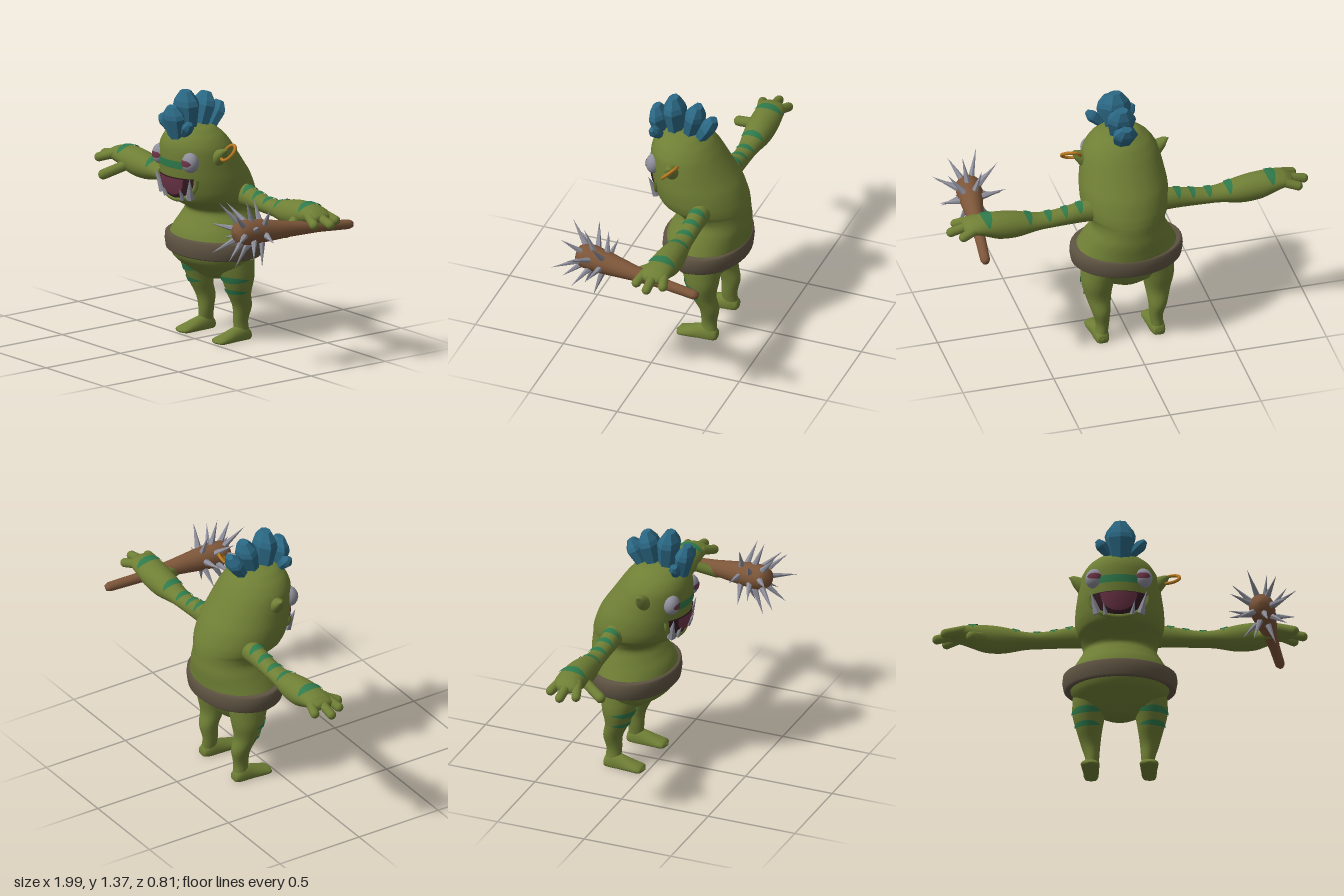
import * as THREE from 'three';
import { mergeVertices } from 'three/addons/utils/BufferGeometryUtils.js';

const V = (x, y, z) => new THREE.Vector3(x, y, z);
const UP = V(0, 1, 0);

// Smooth surface from fn(u, v) -> Vector3, u to the right and v upwards seen from outside
function grid(fn, nu, nv) {
  const pos = [], index = [];
  for (let j = 0; j <= nv; j++) for (let i = 0; i <= nu; i++) pos.push(...fn(i / nu, j / nv).toArray());
  for (let j = 0; j < nv; j++) for (let i = 0; i < nu; i++) {
    const a = j * (nu + 1) + i, b = a + nu + 1;
    index.push(a, a + 1, b + 1, a, b + 1, b);
  }
  let g = new THREE.BufferGeometry();
  g.setAttribute('position', new THREE.Float32BufferAttribute(pos, 3));
  g.setIndex(index);
  g = mergeVertices(g);
  g.computeVertexNormals();
  return g;
}

// Rings are [t, centreA, centreB, radiusA, radiusB]; refine adds Catmull-Rom steps
function refine(rings, n = 4) {
  const out = [], at = i => rings[Math.max(0, Math.min(rings.length - 1, i))];
  for (let i = 0; i < rings.length - 1; i++) for (let k = 0; k < n; k++) {
    const s = k / n, p = at(i - 1), q = at(i), r = at(i + 1), w = at(i + 2);
    out.push(q.map((_, c) => {
      const val = q[c] + 0.5 * s * (r[c] - p[c] + s * (2 * p[c] - 5 * q[c] + 4 * r[c] - w[c] + s * (3 * (q[c] - r[c]) + w[c] - p[c])));
      return c === 0 ? q[0] + s * (r[0] - q[0]) : c > 2 ? Math.max(0, val) : val;
    }));
  }
  out.push(at(rings.length - 1));
  return out;
}

function sample(rings, t) {
  let i = 0;
  while (i < rings.length - 2 && rings[i + 1][0] < t) i++;
  const p = rings[i], q = rings[i + 1], s = THREE.MathUtils.clamp((t - p[0]) / (q[0] - p[0]), 0, 1);
  return p.map((v, c) => v + (q[c] - v) * s);
}

function ringPoint(axis, [t, a, b, ra, rb], angle, off = 0) {
  const c = Math.cos(angle), s = Math.sin(angle), p = ra + off, q = rb + off;
  if (axis === 'y') return V(a + p * s, t, b + q * c);
  if (axis === 'x') return V(t, a + p * c, b + q * s);
  return V(a + p * c, Math.max(0, b + q * s), t);
}

const loft = (axis, rings, seg = 24) => grid(
  (u, v) => ringPoint(axis, rings[Math.round(v * (rings.length - 1))], u * 2 * Math.PI), seg, rings.length - 1);

// Painted band around a limb, pointed at both ends
const band = (axis, rings, t, width, reach, turn = 0) => grid((u, v) => {
  const k = 2 * u - 1, tt = t + width * (2 * v - 1) * (1 - k * k);
  return ringPoint(axis, sample(rings, tt), turn + k * reach, 0.005);
}, 16, 4);

function flat(g) {
  g = g.toNonIndexed();
  g.computeVertexNormals();
  return g;
}

export function createModel() {
  const root = new THREE.Group();
  root.name = 'ogre';
  const mat = (name, color, side = THREE.FrontSide) => {
    const m = new THREE.MeshStandardMaterial({ color, side });
    m.name = name;
    return m;
  };
  const skin = mat('green skin', 0x6f7f35), paint = mat('dark green paint', 0x2f7a4c, THREE.DoubleSide);
  const hair = mat('teal hair', 0x2b6884), grey = mat('grey bone', 0x8f8f9c), wood = mat('brown wood', 0x7d5639);
  const leather = mat('belt leather', 0x5f5443), gold = mat('gold', 0xb87a22);
  const dark = mat('dark mouth', 0x351c24, THREE.DoubleSide), red = mat('maroon', 0x6e3548, THREE.DoubleSide);

  const add = (name, geometry, material, parent = root) => {
    const m = new THREE.Mesh(geometry, material);
    m.name = name;
    parent.add(m);
    return m;
  };
  // Places a y-aligned mesh between two points
  const span = (m, a, b) => {
    m.position.copy(a).add(b).multiplyScalar(0.5);
    m.quaternion.setFromUnitVectors(UP, b.clone().sub(a).normalize());
    return m;
  };
  const capsule = (name, a, b, r) => span(add(name, new THREE.CapsuleGeometry(r, a.distanceTo(b), 6, 12), skin), a, b);
  const spike = (name, a, b, r, parent) => span(add(name, flat(new THREE.ConeGeometry(r, a.distanceTo(b), 6)), grey, parent), a, b);

  // Body and head: y, half width, front z, back z
  const body = refine([
    [0.315, 0, -0.14, -0.14], [0.325, 0.08, -0.08, -0.21], [0.36, 0.17, -0.03, -0.245], [0.42, 0.235, 0.05, -0.28],
    [0.47, 0.265, 0.08, -0.315], [0.53, 0.28, 0.09, -0.35], [0.6, 0.25, 0.07, -0.36], [0.66, 0.22, 0.03, -0.365],
    [0.71, 0.197, 0.01, -0.362], [0.75, 0.205, 0.07, -0.36], [0.78, 0.225, 0.125, -0.355], [0.83, 0.236, 0.15, -0.34],
    [0.9, 0.235, 0.168, -0.31], [0.96, 0.226, 0.176, -0.27], [1.02, 0.215, 0.18, -0.23], [1.08, 0.198, 0.177, -0.19],
    [1.13, 0.163, 0.157, -0.15], [1.17, 0.11, 0.115, -0.1], [1.187, 0.05, 0.06, -0.04], [1.19, 0, 0.01, 0.01],
  ].map(([y, w, f, b]) => [y, 0, (f + b) / 2, w, (f - b) / 2]));
  add('body', loft('y', body, 40), skin);
  const onFace = (x, y, off) => {
    const [, a, b, ra, rb] = sample(body, y);
    return V(x, y, b + rb * Math.sqrt(Math.max(0, 1 - ((x - a) / ra) ** 2)) + off);
  };

  // Belt
  add('belt', loft('y', [[0.465, 0.25, 0.19], [0.466, 0.288, 0.22], [0.475, 0.298, 0.229], [0.52, 0.306, 0.234],
    [0.556, 0.302, 0.231], [0.565, 0.292, 0.222], [0.566, 0.24, 0.18]].map(([y, w, d]) => [y, 0, -0.132, w, d]), 40), leather);

  // Mouth, tongue and lower lip
  const mouthY = X => 0.92 - 0.125 * Math.sqrt(Math.max(0, 1 - X * X));
  add('mouth', grid((u, v) => {
    const X = 2 * u - 1, low = mouthY(X);
    return onFace(0.15 * X, low + (0.92 - low) * v, 0.005);
  }, 28, 8), dark);
  add('tongue', grid((u, v) => {
    const X = 2 * u - 1, low = 0.915 - 0.1 * Math.sqrt(Math.max(0, 1 - X * X));
    return onFace(0.1 * X, low + (0.915 - low) * v, 0.01);
  }, 24, 8), red);
  const lip = [];
  for (let k = 0; k <= 12; k++) {
    const X = -Math.cos(k / 12 * Math.PI);
    lip.push(onFace(0.155 * X, mouthY(X) - 0.006, 0));
  }
  add('lowerLip', new THREE.TubeGeometry(new THREE.CatmullRomCurve3(lip), 32, 0.014, 8), skin);

  // Face paint across the nose
  add('nosePaint', grid((u, v) => onFace(0.1 * (2 * u - 1), 0.97 + 0.042 * v, 0.005), 16, 3), paint);

  const arm = [
    [0.1, 0.81, -0.17, 0.065, 0.06], [0.25, 0.805, -0.165, 0.058, 0.052], [0.4, 0.79, -0.165, 0.045, 0.05],
    [0.5, 0.788, -0.165, 0.046, 0.056], [0.62, 0.793, -0.165, 0.07, 0.074], [0.72, 0.803, -0.165, 0.072, 0.08],
    [0.8, 0.818, -0.165, 0.055, 0.077], [0.86, 0.822, -0.16, 0.038, 0.074], [0.9, 0.815, -0.155, 0.022, 0.055], [0.912, 0.81, -0.155, 0, 0],
  ];
  const leg = [
    [0.03, 0.155, -0.197, 0.034, 0.043], [0.1, 0.148, -0.193, 0.036, 0.043], [0.18, 0.156, -0.197, 0.05, 0.053],
    [0.26, 0.163, -0.17, 0.068, 0.064], [0.35, 0.165, -0.16, 0.088, 0.09], [0.45, 0.15, -0.15, 0.1, 0.11],
  ];
  const foot = [
    [-0.247, 0.155, 0.02, 0, 0], [-0.24, 0.155, 0.02, 0.03, 0.03], [-0.2, 0.154, 0.02, 0.04, 0.06], [-0.14, 0.154, 0.018, 0.043, 0.05],
    [-0.08, 0.156, 0.013, 0.048, 0.034], [-0.03, 0.156, 0.01, 0.046, 0.02], [-0.01, 0.156, 0.008, 0, 0],
  ];
  const ear = [
    [0.15, 1.02, -0.005, 0.05, 0.04], [0.205, 1.028, -0.003, 0.05, 0.04], [0.245, 1.06, -0.005, 0.028, 0.026], [0.27, 1.085, -0.01, 0, 0],
  ];

  for (const s of [1, -1]) {
    const side = s > 0 ? 'left' : 'right';
    const alongX = r => refine(s > 0 ? r : r.map(([t, ...rest]) => [-t, ...rest]).reverse());

    // Arm with painted bands
    const armRings = alongX(arm);
    add(side + 'Arm', loft('x', armRings), skin);
    for (const [x, w] of [[0.27, 0.02], [0.35, 0.018], [0.44, 0.02], [0.55, 0.02], [0.78, 0.028]])
      add(side + 'ArmPaint', band('x', armRings, s * x, w, 1.25), paint);

    // Three fingers and a thumb
    for (const [x, y, z, z0] of [[0.92, 0.8, -0.228, -0.205], [0.97, 0.795, -0.155, -0.155], [0.925, 0.795, -0.08, -0.11]])
      capsule(side + 'Finger', V(s * 0.83, 0.828, z0), V(s * x, y, z), 0.025);
    capsule(side + 'Thumb', V(s * 0.73, 0.785, -0.11), V(s * 0.785, 0.74, 0.0), 0.028);

    // Leg, foot and leg paint
    const place = r => refine(r.map(([t, a, ...rest]) => [t, s * a, ...rest]));
    const legRings = place(leg);
    add(side + 'Leg', loft('y', legRings), skin);
    add(side + 'Foot', loft('z', place(foot)), skin);
    for (const [y, w] of [[0.345, 0.018], [0.275, 0.014]])
      add(side + 'LegPaint', band('y', legRings, y, w, 1.3, s * 0.35), paint);

    // Ear, eye and pupil
    add(side + 'Ear', loft('x', alongX(ear), 16), skin);
    const eye = new THREE.Group();
    eye.name = side + 'Eye';
    eye.position.set(s * 0.128, 1.01, 0.128);
    eye.scale.set(0.05, 0.056, 0.044);
    root.add(eye);
    add('eyeball', new THREE.SphereGeometry(1, 24, 16), grey, eye);
    add('pupil', grid((u, v) => {
      const k = 2 * u - 1, x = 0.8 * k, y = 0.3 * (2 * v - 1) * (1 - k ** 4);
      return V(x, y, Math.sqrt(1 - x * x - y * y) + 0.04);
    }, 16, 4), red, eye);

    // Tusks and small teeth
    spike(side + 'Tusk', onFace(s * 0.115, 0.81, 0.01), onFace(s * 0.15, 0.93, 0.035), 0.026);
    spike(side + 'Tooth', onFace(s * 0.07, 0.8, 0.01), onFace(s * 0.085, 0.865, 0.025), 0.016);
  }

  // Earring
  const ring = add('earring', new THREE.TorusGeometry(0.05, 0.009, 8, 28), gold);
  ring.position.set(0.27, 1.07, -0.015);
  ring.quaternion.setFromUnitVectors(V(0, 0, 1), V(-0.2, 0.68, 0.7).normalize());

  // Crystal hair: base, tip, half width in x, half depth in z
  const profile = [[0, -0.5], [0.62, -0.5], [1, 0.18], [0.88, 0.3], [0.42, 0.5], [0, 0.5]].map(p => new THREE.Vector2(...p));
  for (const [a, b, wx, wz] of [
    [V(0.01, 1.1, 0.125), V(0.01, 1.3, 0.16), 0.08, 0.05], [V(0.005, 1.13, 0.045), V(0.005, 1.37, 0.065), 0.085, 0.062],
    [V(0.005, 1.13, -0.02), V(0.005, 1.345, -0.075), 0.08, 0.056], [V(0.005, 1.12, -0.07), V(0.005, 1.28, -0.165), 0.07, 0.045],
    [V(0.05, 1.14, 0.115), V(0.14, 1.225, 0.14), 0.033, 0.033], [V(-0.04, 1.14, 0.115), V(-0.115, 1.23, 0.14), 0.033, 0.033],
  ]) {
    const c = span(add('hairCrystal', flat(new THREE.LatheGeometry(profile, 7)), hair), a, b);
    c.scale.set(wx, a.distanceTo(b), wz);
  }

  // Spiked club held in the left hand
  const club = new THREE.Group();
  club.name = 'club';
  const end = V(0.845, 0.738, -0.39), head = V(0.75, 0.782, 0.32);
  club.position.copy(end);
  club.quaternion.setFromUnitVectors(UP, head.clone().sub(end).normalize());
  root.add(club);
  add('clubShaft', new THREE.LatheGeometry([[0, -0.01], [0.018, -0.006], [0.026, 0.015], [0.029, 0.2], [0.043, 0.38], [0.06, 0.52],
    [0.07, 0.62], [0.066, 0.68], [0.045, 0.71], [0, 0.72]].map(p => new THREE.Vector2(...p)), 14), wood, club);
  [[0.555, 0.15, 6, 0.055, 0.12], [0.62, 0.4, 6, 0.058, 0.14], [0.68, 0.75, 6, 0.05, 0.14]].forEach(([y, tilt, n, r, len], row) => {
    for (let k = 0; k < n; k++) {
      const f = (k + row * 0.5) / n * 2 * Math.PI + 0.3, l = len + 0.02 * (k % 2);
      const a = V(r * Math.cos(f), y, r * Math.sin(f));
      const d = V(Math.cos(f) * Math.cos(tilt), Math.sin(tilt), Math.sin(f) * Math.cos(tilt));
      spike('clubSpike', a, a.clone().addScaledVector(d, l), 0.018, club);
    }
  });
  return root;
}
